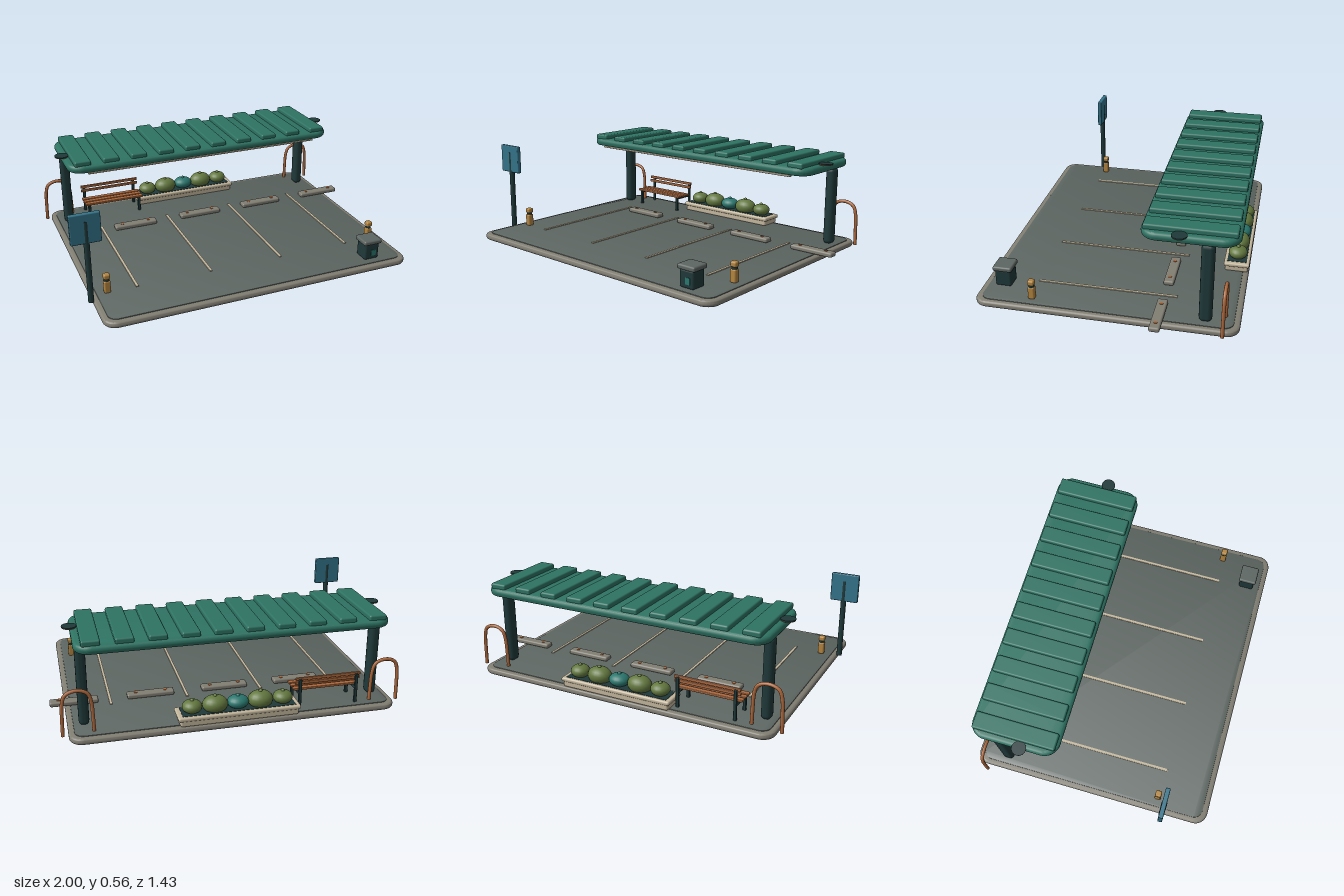
import * as THREE from 'three';
import { RoundedBoxGeometry } from 'three/addons/geometries/RoundedBoxGeometry.js';
import { toCreasedNormals } from 'three/addons/utils/BufferGeometryUtils.js';

const paint = (name, color) => Object.assign(new THREE.MeshStandardMaterial({ color }), { name });
const mats = {
  asphalt: paint('asphalt', 0x5d6662),
  concrete: paint('concrete', 0x817e73),
  roof: paint('canopy green', 0x2e7363),
  dark: paint('dark teal', 0x20393a),
  blue: paint('sign blue', 0x34748a),
  copper: paint('copper', 0xad683c),
  gold: paint('bollard yellow', 0xb58640),
  cream: paint('cream', 0xc4b79d),
  leaf: paint('leaf green', 0x64793f),
  aqua: paint('aqua green', 0x2a786f),
};

export function createModel() {
  const model = new THREE.Group();
  model.name = 'parkingShelter';

  function add(name, geometry, mat, x, y, z, parent = model) {
    const mesh = new THREE.Mesh(geometry, mats[mat]);
    mesh.name = name;
    mesh.position.set(x, y, z);
    parent.add(mesh);
    return mesh;
  }
  const group = (name, x = 0, y = 0, z = 0) => {
    const g = new THREE.Group();
    g.name = name;
    g.position.set(x, y, z);
    model.add(g);
    return g;
  };
  const rbox = (w, h, d, r = 0.006) => new RoundedBoxGeometry(w, h, d, 2, r);
  const cyl = (r1, r2, h, n = 24) => new THREE.CylinderGeometry(r1, r2, h, n);

  // Horizontal plate with rounded corners and bevelled rim, base at y = 0
  function plate(w, d, h, r, bevel) {
    const a = w / 2 - bevel, b = d / 2 - bevel;
    const s = new THREE.Shape();
    s.moveTo(-a + r, -b);
    s.lineTo(a - r, -b).absarc(a - r, -b + r, r, -Math.PI / 2, 0);
    s.lineTo(a, b - r).absarc(a - r, b - r, r, 0, Math.PI / 2);
    s.lineTo(-a + r, b).absarc(-a + r, b - r, r, Math.PI / 2, Math.PI);
    s.lineTo(-a, -b + r).absarc(-a + r, -b + r, r, Math.PI, Math.PI * 1.5);
    const g = new THREE.ExtrudeGeometry(s, {
      depth: h - 2 * bevel, bevelEnabled: bevel > 0, bevelSize: bevel,
      bevelThickness: bevel, bevelSegments: 4, curveSegments: 8,
    });
    g.translate(0, 0, bevel).rotateX(-Math.PI / 2);
    return toCreasedNormals(g, 0.6);
  }

  // Ground slab, tarmac and bay lines
  add('kerbSlab', plate(1.82, 1.43, 0.035, 0.06, 0.014), 'concrete', 0.005, 0, 0);
  add('tarmac', plate(1.76, 1.365, 0.006, 0.05, 0.002), 'asphalt', 0.005, 0.033, 0);
  for (let i = 0; i < 4; i++) {
    add('bayLine', new THREE.BoxGeometry(0.015, 0.006, 0.78), 'cream', -0.648 + i * 0.436, 0.041, 0.03);
  }

  // Wheel stops with two bolts each
  for (let i = 0; i < 4; i++) {
    const stop = group('wheelStop', -0.441 + i * 0.434, 0.038, -0.293);
    add('stopBlock', rbox(0.27, 0.028, 0.058, 0.01), 'concrete', 0, 0.014, 0, stop);
    for (const s of [-1, 1]) add('stopBolt', cyl(0.01, 0.01, 0.004, 12), 'copper', s * 0.085, 0.029, 0, stop);
  }

  // Canopy: slab, ribs, front light strip, posts, braces and end discs
  add('canopySlab', plate(1.714, 0.51, 0.047, 0.07, 0.02), 'roof', 0.006, 0.488, -0.437);
  for (let i = 0; i < 10; i++) {
    add('canopyRib', rbox(0.098, 0.034, 0.48, 0.01), 'roof', -0.766 + i * 0.1714, 0.545, -0.437);
  }
  add('lightStrip', rbox(1.49, 0.012, 0.024, 0.004), 'cream', 0.006, 0.483, -0.205);
  for (const s of [-1, 1]) {
    const x = 0.006 + s * 0.82;
    add('canopyPost', rbox(0.056, 0.46, 0.07, 0.024), 'dark', x, 0.264, -0.533);
    const curve = new THREE.CatmullRomCurve3([
      new THREE.Vector3(0, 0.432, -0.51), new THREE.Vector3(0, 0.473, -0.39),
      new THREE.Vector3(0, 0.482, -0.33), new THREE.Vector3(0, 0.487, -0.23),
    ]);
    add('canopyBrace', new THREE.TubeGeometry(curve, 20, 0.01, 10), 'concrete', 0.006 + s * 0.424, 0, 0);
    add('braceFoot', new THREE.SphereGeometry(0.01, 10, 8), 'concrete', 0.006 + s * 0.424, 0.432, -0.51);
    add('endDisc', cyl(0.041, 0.041, 0.005), 'dark', 0.006 + s * 0.858, 0.541, -0.39);
    add('endDiscRim', cyl(0.041, 0.039, 0.004), 'copper', 0.006 + s * 0.858, 0.5365, -0.39);
  }

  // Bollards and rear hoops on both sides
  for (const s of [-1, 1]) {
    const b = group('bollard', 0.006 + s * 0.82, 0.037, 0.406);
    add('bollardBody', rbox(0.037, 0.075, 0.037, 0.009), 'gold', 0, 0.0375, 0, b);
    add('bollardBand', cyl(0.016, 0.016, 0.014), 'dark', 0, 0.079, 0, b);
    add('bollardCap', rbox(0.037, 0.03, 0.037, 0.009), 'gold', 0, 0.099, 0, b);

    const path = new THREE.CatmullRomCurve3([
      [-0.082, 0.025], [-0.08, 0.12], [-0.075, 0.21], [-0.06, 0.255], [-0.025, 0.275],
      [0.025, 0.275], [0.06, 0.255], [0.075, 0.21], [0.08, 0.12], [0.082, 0.025],
    ].map(([x, y]) => new THREE.Vector3(x, y, 0)));
    add('guardHoop', new THREE.TubeGeometry(path, 48, 0.01, 10), 'copper', 0.006 + s * 0.857, 0, -0.634);
  }

  // Sign
  add('signPost', cyl(0.016, 0.016, 0.48, 16), 'dark', -0.915, 0.267, 0.452);
  add('signBoard', rbox(0.165, 0.17, 0.026, 0.006), 'blue', -0.9175, 0.466, 0.452);

  // Litter bin
  const bin = group('litterBin', 0.705, 0.037, 0.597);
  add('binBody', rbox(0.092, 0.1, 0.092, 0.012), 'dark', 0, 0.05, 0, bin);
  add('binLid', rbox(0.114, 0.028, 0.108, 0.01), 'asphalt', 0, 0.11, 0, bin);
  add('binPlate', new THREE.BoxGeometry(0.03, 0.036, 0.004), 'aqua', 0.01, 0.042, 0.047, bin);

  // Bench
  const bench = group('bench', -0.515, 0, 0);
  for (let i = 0; i < 3; i++) add('seatSlat', rbox(0.38, 0.014, 0.032, 0.004), 'copper', 0, 0.137, -0.515 - i * 0.04, bench);
  for (const y of [0.185, 0.21]) add('backSlat', rbox(0.38, 0.018, 0.012, 0.004), 'copper', 0, y, -0.626 - (y - 0.185) * 0.2, bench);
  for (const s of [-1, 1]) {
    add('frontLeg', rbox(0.018, 0.095, 0.018, 0.004), 'dark', s * 0.165, 0.083, -0.51, bench);
    add('backLeg', rbox(0.018, 0.175, 0.014, 0.004), 'dark', s * 0.165, 0.123, -0.641, bench);
    add('seatRail', rbox(0.016, 0.014, 0.13, 0.004), 'dark', s * 0.165, 0.124, -0.575, bench);
  }

  // Planter with five rounded shrubs
  const planter = group('planter', 0.005, 0.035, -0.644);
  add('planterTrough', rbox(0.66, 0.05, 0.132, 0.012), 'cream', 0, 0.025, 0, planter);
  add('planterRim', rbox(0.68, 0.024, 0.145, 0.01), 'cream', 0, 0.045, 0, planter);
  add('soil', new THREE.BoxGeometry(0.63, 0.004, 0.11), 'dark', 0, 0.057, 0, planter);
  for (let i = -2; i <= 2; i++) {
    const big = Math.abs(i) === 1, r = i === 0 ? 0.06 : big ? 0.071 : 0.055;
    const h = big ? 0.05 : 0.037, mat = i === 0 ? 'aqua' : 'leaf';
    add('shrub', new THREE.SphereGeometry(1, 20, 14), mat, i * 0.127, 0.088, 0, planter)
      .scale.set(r, h, big ? 0.058 : 0.054);
    add('shrubTip', new THREE.SphereGeometry(0.012, 10, 8), mat, i * 0.127, 0.085 + h, 0, planter);
  }

  return model;
}
